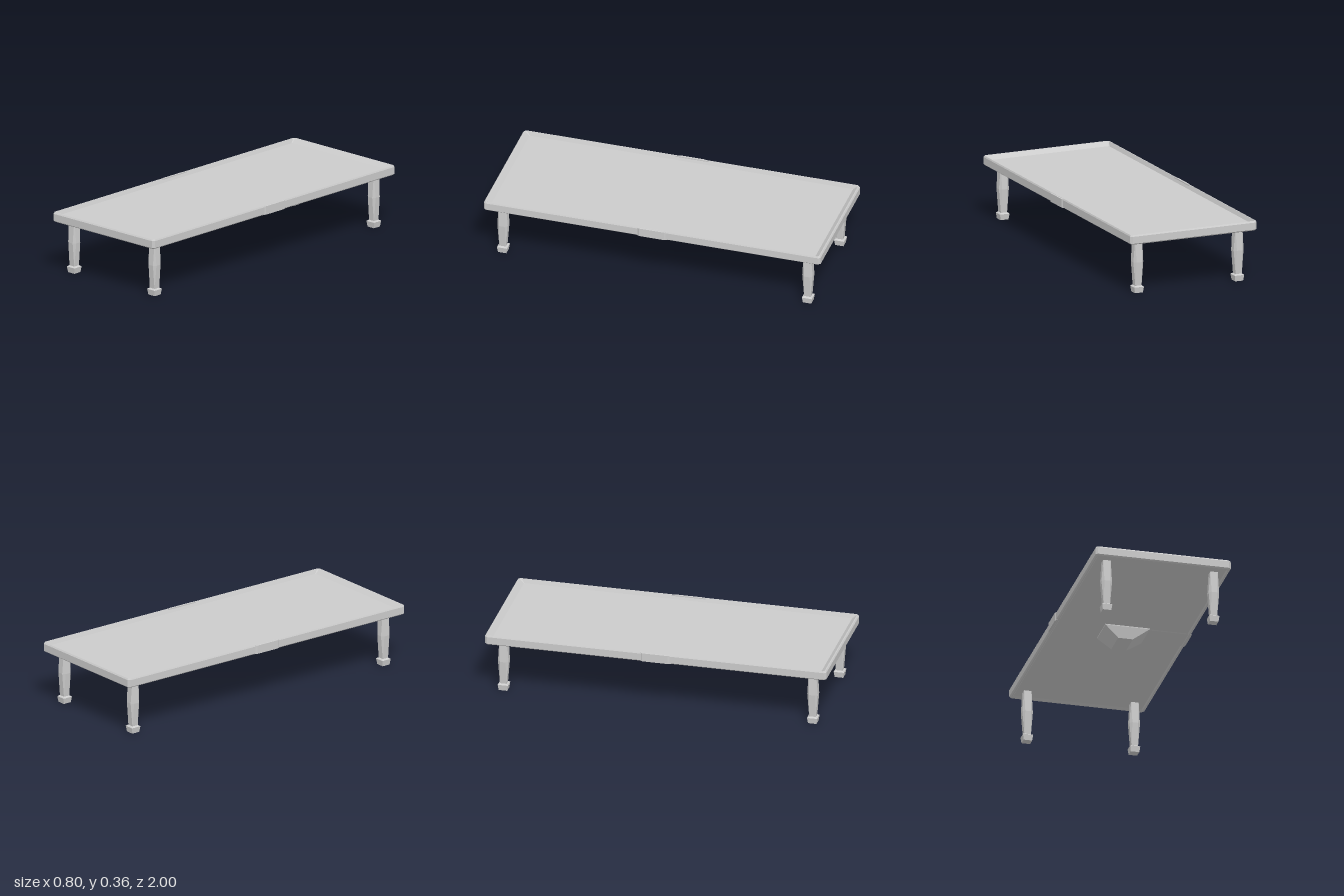
import * as THREE from 'three';

const material = new THREE.MeshStandardMaterial({ color: 0xcccccc, flatShading: true });

// Closed loft through chamfered rectangles: [halfX, halfZ, y, chamfer, offsetX]
function loft(rings) {
  const positions = [];
  const loops = rings.map(([hx, hz, y, c = 0.0005, ox = 0]) => [
    [hx, hz - c], [hx, c - hz], [hx - c, -hz], [c - hx, -hz],
    [-hx, c - hz], [-hx, hz - c], [c - hx, hz], [hx - c, hz],
  ].map(([x, z]) => [x + ox, y, z]));
  const tri = (a, b, c) => positions.push(...a, ...b, ...c);
  for (let i = 0; i < loops.length - 1; i++) {
    for (let j = 0; j < 8; j++) {
      const k = (j + 1) % 8;
      tri(loops[i][j], loops[i][k], loops[i + 1][k]);
      tri(loops[i][j], loops[i + 1][k], loops[i + 1][j]);
    }
  }
  const bottom = loops[0], top = loops[loops.length - 1];
  for (let j = 1; j < 7; j++) {
    tri(bottom[0], bottom[j + 1], bottom[j]);
    tri(top[0], top[j], top[j + 1]);
  }
  const geometry = new THREE.BufferGeometry();
  geometry.setAttribute('position', new THREE.Float32BufferAttribute(positions, 3));
  geometry.computeVertexNormals();
  return geometry;
}

function addPart(parent, name, geometry) {
  const mesh = new THREE.Mesh(geometry, material);
  mesh.name = name;
  parent.add(mesh);
  return mesh;
}

export function createModel() {
  const model = new THREE.Group();
  model.name = 'lowTable';

  // Tray top: recessed underside, bevelled rim, sunken floor
  addPart(model, 'trayTop', loft([
    [0.375, 0.965, 0.311, 0.005],
    [0.382, 0.982, 0.304, 0.008],
    [0.388, 0.992, 0.304, 0.01],
    [0.396, 1, 0.311, 0.012],
    [0.396, 1, 0.352, 0.012],
    [0.392, 0.994, 0.36, 0.01],
    [0.388, 0.988, 0.36, 0.008],
    [0.378, 0.96, 0.337, 0.003],
  ]));

  // Legs: square at the ends, octagonal at the swelling, on flared feet
  const legGeometry = loft([
    [0.019, 0.019, 0.035],
    [0.031, 0.031, 0.18, 0.014],
    [0.022, 0.022, 0.315],
  ]);
  const footGeometry = loft([
    [0.025, 0.025, 0],
    [0.03, 0.03, 0.034],
    [0.02, 0.02, 0.041],
  ]);
  for (const x of [-1, 1]) {
    for (const z of [-1, 1]) {
      const leg = new THREE.Group();
      leg.name = (z > 0 ? 'front' : 'back') + (x > 0 ? 'Left' : 'Right') + 'Leg';
      leg.position.set(x * 0.314, 0, z * 0.905);
      addPart(leg, 'shaft', legGeometry);
      addPart(leg, 'foot', footGeometry);
      model.add(leg);
    }
  }

  // Tapered block under the middle
  addPart(model, 'centreBlock', loft([
    [0.043, 0.08, 0.24, 0.0005, 0.012],
    [0.13, 0.098, 0.306, 0.0005, 0.02],
    [0.13, 0.098, 0.316, 0.0005, 0.02],
  ]));

  // Shallow strip running from the block to the left rim
  addPart(model, 'underStrip', loft([
    [0.125, 0.08, 0.307, 0.0005, 0.26],
    [0.125, 0.095, 0.315, 0.0005, 0.26],
  ]));

  // Tapered plates at the middle of both long sides
  const plateGeometry = loft([
    [0.027, 0.1, 0.385],
    [0.025, 0.075, 0.401],
  ]).rotateZ(-Math.PI / 2).translate(0, 0.332, 0);
  addPart(model, 'leftSidePlate', plateGeometry);
  addPart(model, 'rightSidePlate', plateGeometry).rotation.y = Math.PI;

  return model;
}
